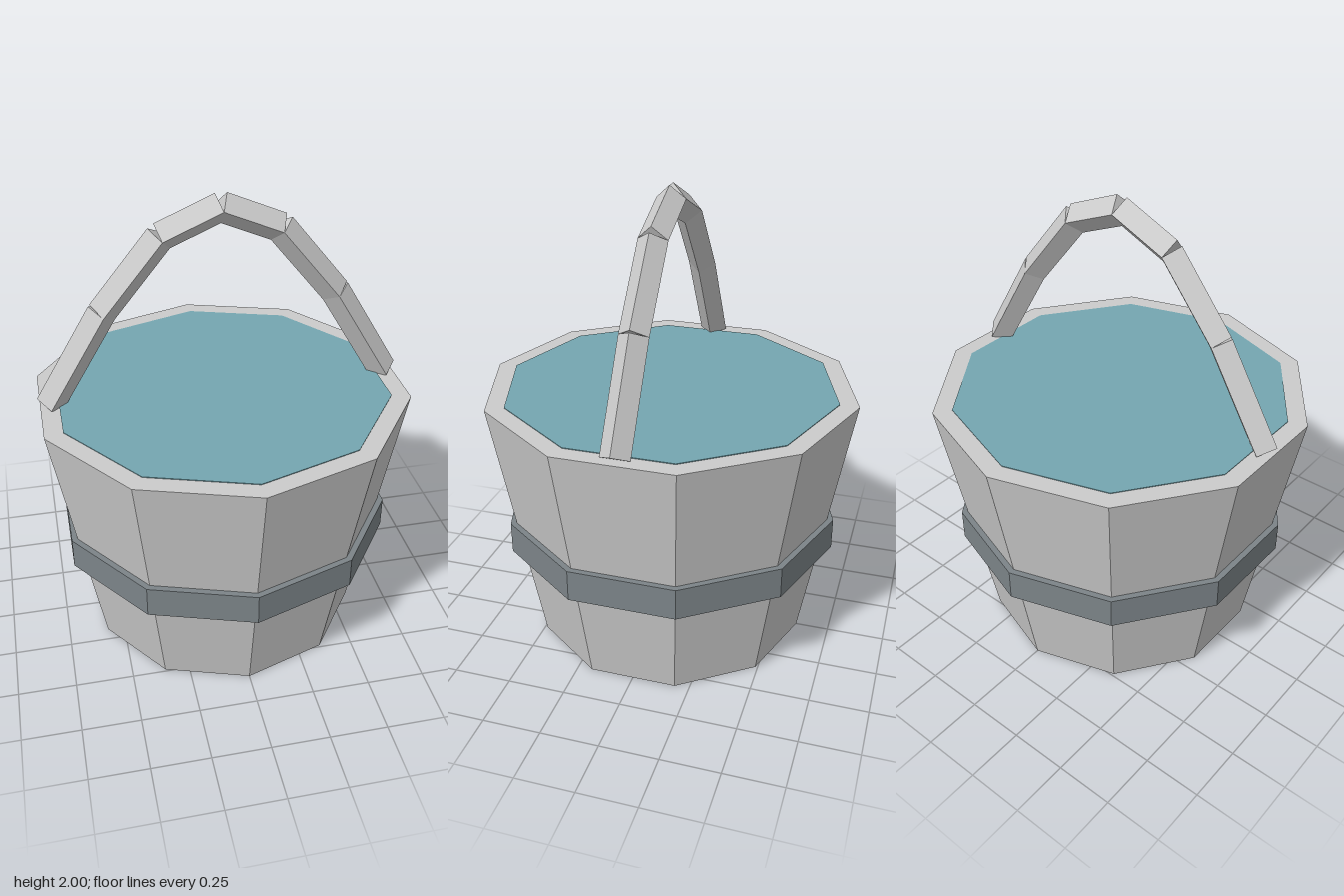
import * as THREE from 'three';

const SIDES = 10;

function material(color = 0xcccccc) {
  return new THREE.MeshStandardMaterial({ color, flatShading: true });
}

function addMesh(parent, name, geometry, mat) {
  const mesh = new THREE.Mesh(geometry, mat);
  mesh.name = name;
  parent.add(mesh);
  return mesh;
}

export function createModel() {
  const bucket = new THREE.Group();
  bucket.name = 'bucket';

  // Tapered wooden tub: base, outer wall, flat rim and inner lip
  const profile = [[0, 0], [0.605, 0], [0.81, 1.133], [0.727, 1.133], [0.722, 1.1]]
    .map(([r, y]) => new THREE.Vector2(r, y));
  addMesh(bucket, 'tub', new THREE.LatheGeometry(profile, SIDES), material());

  // Water filled to the brim
  const water = addMesh(bucket, 'water',
    new THREE.CylinderGeometry(0.728, 0.722, 0.035, SIDES), material(0x74a6b0));
  water.position.y = 1.119;

  // Straight metal hoop around the wall
  const hoop = addMesh(bucket, 'hoop',
    new THREE.CylinderGeometry(0.737, 0.737, 0.137, SIDES), material(0x7c8488));
  hoop.position.y = 0.513;

  // Handle: square bars set on edge, following an arch mirrored in x
  const handle = new THREE.Group();
  handle.name = 'handle';
  bucket.add(handle);
  const handleMaterial = material();
  const arch = [[0, 1.944], [0.243, 1.84], [0.488, 1.538], [0.727, 1.138]];
  const up = new THREE.Vector3(0, 1, 0);
  for (const side of [-1, 1]) {
    for (let i = 0; i < arch.length - 1; i++) {
      const a = new THREE.Vector3(side * arch[i][0], arch[i][1], 0);
      const b = new THREE.Vector3(side * arch[i + 1][0], arch[i + 1][1], 0);
      const bar = addMesh(handle, 'handleBar',
        new THREE.CylinderGeometry(0.062, 0.062, a.distanceTo(b), 4), handleMaterial);
      bar.position.copy(a).lerp(b, 0.5);
      bar.quaternion.setFromUnitVectors(up, a.sub(b).normalize());
    }
  }

  return bucket;
}
